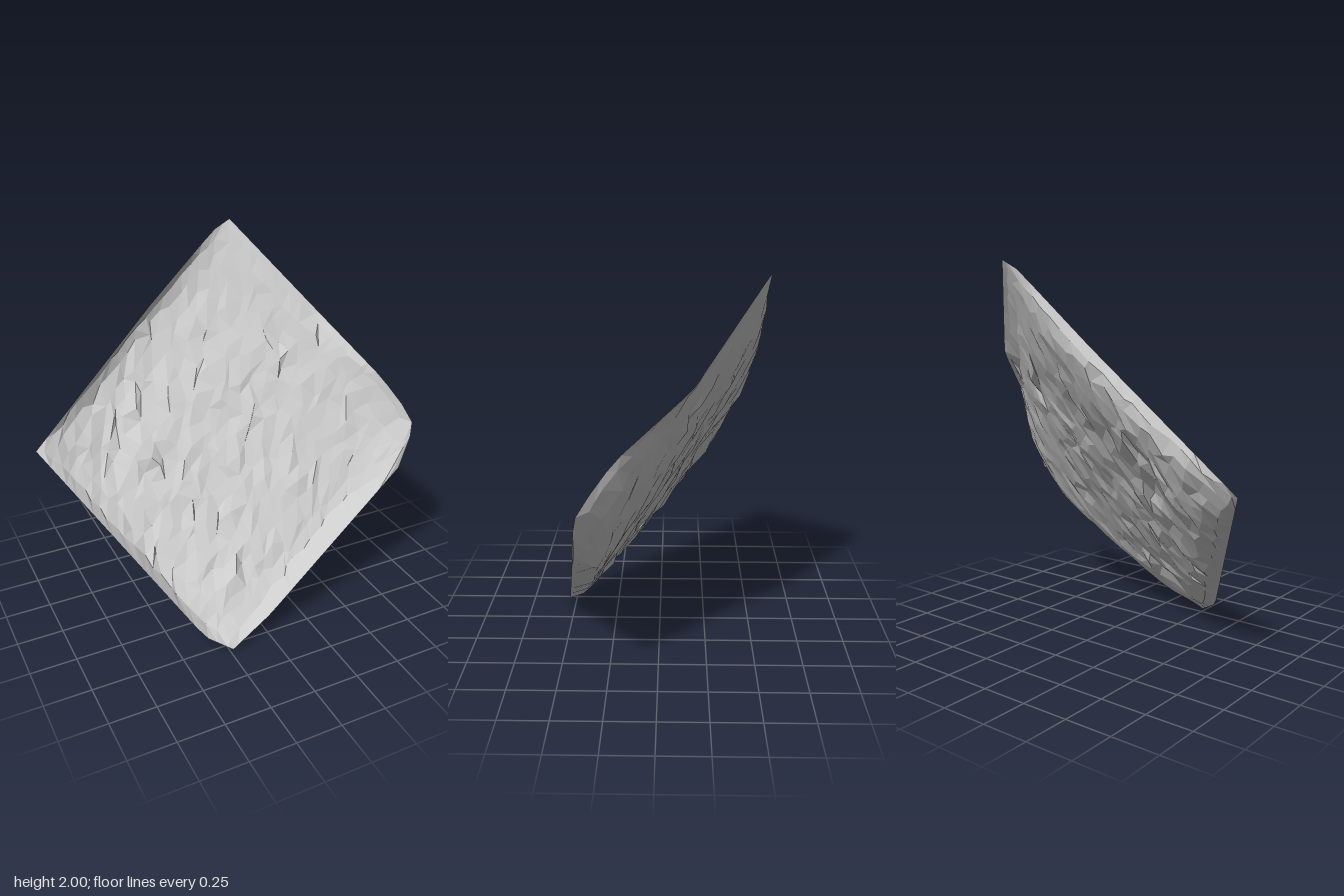
import * as THREE from 'three';

const N = 23;        // facets along each side of the sheet
const INSET = 0.025; // width of the steep rim strip

// straight-segment border through a few points
function border(points) {
  const path = new THREE.CurvePath();
  const p = points.map(q => new THREE.Vector3(...q));
  for (let i = 1; i < p.length; i++) path.add(new THREE.LineCurve3(p[i - 1], p[i]));
  return t => path.getPoint(THREE.MathUtils.clamp(t, 0, 1));
}

const bottom = border([[-0.23, 0.005, 0.545], [0.01, 0.13, 0.51], [0.87, 0.76, 0.385]]);
const top = border([[-0.96, 0.94, -0.35], [-0.22, 1.6, -0.495], [0.18, 1.95, -0.54], [0.28, 2, -0.545]]);
const left = border([[-0.23, 0.005, 0.545], [-0.36, 0.08, 0.47], [-0.96, 0.94, -0.35]]);
const right = border([[0.87, 0.76, 0.385], [0.94, 0.93, 0.37], [0.96, 1.03, 0.35],
  [0.85, 1.23, 0.19], [0.66, 1.51, -0.16], [0.28, 2, -0.545]]);

// patch spanned between the four borders
function patch(u, v) {
  const p = new THREE.Vector3();
  const add = (q, w) => p.addScaledVector(q, w);
  add(bottom(u), 1 - v); add(top(u), v);
  add(left(v), 1 - u); add(right(v), u);
  add(bottom(0), -(1 - u) * (1 - v)); add(bottom(1), -u * (1 - v));
  add(top(0), -(1 - u) * v); add(top(1), -u * v);
  return p;
}

// how far the dish sinks behind its flat rim plane
const rise = t => 1 - Math.exp(-t);
function sink(u, v) {
  const rims = rise(u / 0.03) * rise(v / 0.008) * rise((1 - v) / 0.035) * rise((1 - u) / 0.16);
  const corners = rise(Math.hypot(u, v) / 0.14) * rise(Math.hypot(u, 1 - v) / 0.14)
    * rise(Math.hypot(1 - u, 1 - v) / 0.14);
  return (0.145 + 0.2 * u * u * (1 - v) ** 2) * rims * corners;
}

// local crags: x, y, radius, height
const crags = [[0.05, 1.2, 0.07, 0.07], [-0.42, 0.9, 0.07, 0.05], [0.05, 0.84, 0.04, 0.05],
  [-0.55, 0.85, 0.06, -0.04], [-0.28, 0.22, 0.06, 0.04], [0.39, 1.3, 0.05, 0.04],
  [-0.15, 0.5, 0.05, 0.03], [-0.3, 1.1, 0.05, -0.03]];

function createSheet() {
  let seed = 7;
  const random = () => {
    seed = (seed * 1664525 + 1013904223) % 4294967296;
    return seed / 4294967296;
  };
  // grid line positions: thin rim rows, even and jittered inside
  const place = i => {
    const j = (random() - 0.5) * 0.8 / N;
    if (i === 0 || i === N) return i / N;
    const t = INSET + (i - 1) / (N - 2) * (1 - 2 * INSET);
    return i === 1 || i === N - 1 ? t + j * 0.4 : t + j;
  };

  const geometry = new THREE.PlaneGeometry(1, 1, N, N);
  const pos = geometry.attributes.position;
  for (let k = 0; k < pos.count; k++) {
    const col = k % (N + 1), row = N - Math.floor(k / (N + 1));
    const u = place(col), v = place(row);
    const p = patch(u, v);
    const jz = random() - 0.5, spike = random();
    if (col > 0 && col < N && row > 0 && row < N) {
      const plane = 0.395 * p.x - 0.649 * p.y + 0.642;
      const depth = Math.max(plane - p.z, sink(u, v));
      // rough rock surface, calmer towards the right
      let bump = jz * 0.026 + 0.008 * Math.sin(9 * p.x + 3) * Math.sin(8 * p.y);
      if (spike > 0.96) bump += 0.02 * Math.sign(jz);
      for (const [x, y, r, h] of crags) {
        const d2 = ((p.x - x) ** 2 + (p.y - y) ** 2) / (r * r);
        bump += h * Math.exp(-d2) * (0.3 + spike);
      }
      const calm = Math.min(1, 5 * Math.min(u, v, 1 - u, 1 - v) + 0.2);
      p.z = plane - depth + bump * calm * (1.15 - 0.6 * u);
    }
    pos.setXYZ(k, p.x, p.y, p.z);
  }
  geometry.computeVertexNormals();
  return geometry;
}

export function createModel() {
  const group = new THREE.Group();
  group.name = 'rockSurface';
  const material = new THREE.MeshStandardMaterial({
    color: 0xcccccc, flatShading: true, side: THREE.DoubleSide,
  });
  const sheet = new THREE.Mesh(createSheet(), material);
  sheet.name = 'rockSheet';
  group.add(sheet);
  return group;
}
